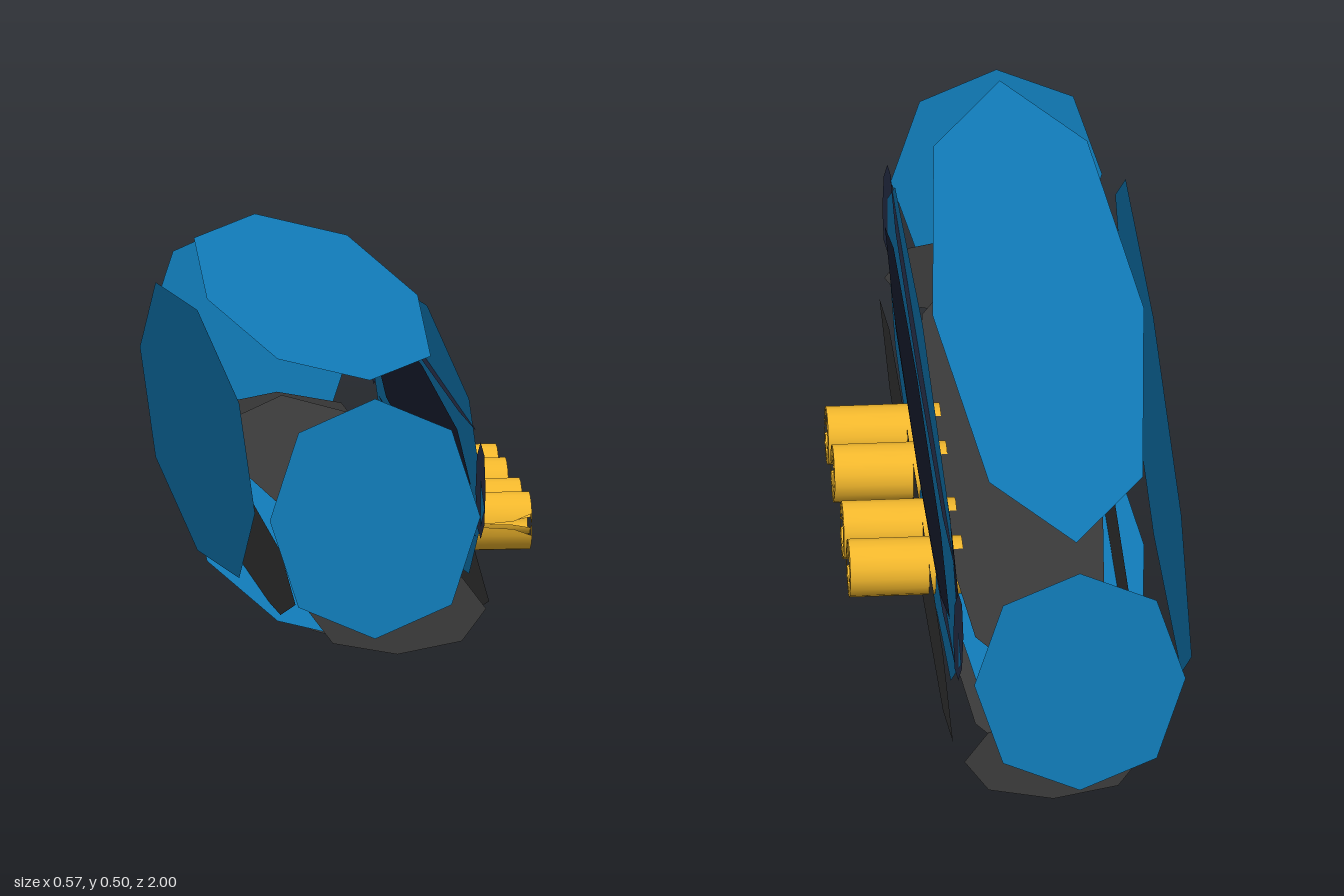
import * as THREE from 'three';

const material = (color) => new THREE.MeshStandardMaterial({ color, side: THREE.DoubleSide, flatShading: true });
const blue = material(0x117dbb);
const charcoal = material(0x3b3b3b);
const navy = material(0x1a2033);
const gold = material(0xf0b62c);
const goldSmooth = gold.clone();
goldSmooth.flatShading = false;

// A softened quad: edge middles and corners both draw in from the full outline
const MID = 11 / 12, COR = 2 / 3;
const OUTLINE = [
  [MID, 0], [COR, COR], [0, MID], [-COR, COR],
  [-MID, 0], [-COR, -COR], [0, -MID], [COR, -COR],
];
const softQuad = (place) => new THREE.Shape(OUTLINE.map(([u, v]) => place(u, v)));

function addMesh(parent, name, geometry, mat) {
  const mesh = new THREE.Mesh(geometry, mat);
  mesh.name = name;
  parent.add(mesh);
  return mesh;
}

// Six separate octagonal plates, one on each side of a box
function plateBox(name, [cx, cy, cz], [hx, hy, hz], mat) {
  const group = new THREE.Group();
  group.name = name;
  group.position.set(cx, cy, cz);
  const plate = (label, a, b, depth, rx, ry) => {
    const g = new THREE.ShapeGeometry(softQuad((u, v) => new THREE.Vector2(u * a, v * b)));
    g.translate(0, 0, depth).rotateX(rx).rotateY(ry);
    addMesh(group, label, g, mat);
  };
  const q = Math.PI / 2;
  plate('frontPlate', hx, hy, hz, 0, 0);
  plate('backPlate', hx, hy, hz, 0, 2 * q);
  plate('leftPlate', hz, hy, hx, 0, q);
  plate('rightPlate', hz, hy, hx, 0, -q);
  plate('topPlate', hx, hz, hy, -q, 0);
  plate('bottomPlate', hx, hz, hy, q, 0);
  return group;
}

// Open tube wall along x, with a seam at +z that opens towards both ends
function tubeWall(radius, half) {
  const steps = 16, pos = [], index = [];
  const deg = Math.PI / 180;
  for (let j = 0; j <= steps; j++) {
    const seam = j === 0 || j === steps;
    const side = j === 0 ? 1 : -1;
    for (let i = -1; i <= 1; i++) {
      let angle = j * 22.5, x = i * half;
      if (seam) {
        angle += side * (i === 0 ? 1.9 : 7.5);
        x *= COR;
      }
      pos.push(x, radius * Math.sin(angle * deg), radius * Math.cos(angle * deg));
    }
  }
  for (let j = 0; j < steps; j++) {
    for (let i = 0; i < 2; i++) {
      const a = j * 3 + i, b = a + 1, c = a + 3, d = a + 4;
      index.push(a, b, c, b, d, c);
    }
  }
  const g = new THREE.BufferGeometry();
  g.setAttribute('position', new THREE.Float32BufferAttribute(pos, 3));
  g.setIndex(index);
  g.computeVertexNormals();
  return g;
}

// Ring of eight softened wedges facing +z
function wedgeRing(inner, outer) {
  const wedges = [];
  for (let k = 0; k < 8; k++) {
    const mid = (k + 0.5) * Math.PI / 4;
    const apothem = Math.cos(Math.PI / 8), chord = Math.sin(Math.PI / 8);
    wedges.push(softQuad((u, v) => {
      const r = (inner + outer) / 2 + u * (outer - inner) / 2;
      return new THREE.Vector2(r * apothem, r * chord * v).rotateAround(new THREE.Vector2(), mid);
    }));
  }
  return new THREE.ShapeGeometry(wedges);
}

function hollowPipe(name, z) {
  const half = 0.103;
  const pipe = new THREE.Group();
  pipe.name = name;
  pipe.position.set(0.183, 0.133, z);
  addMesh(pipe, 'outerWall', tubeWall(0.053, half), goldSmooth);
  addMesh(pipe, 'innerWall', tubeWall(0.025, half), goldSmooth);
  for (const s of [1, -1]) {
    const ring = wedgeRing(0.028, 0.058).translate(0, 0, half).rotateY(s * Math.PI / 2);
    addMesh(pipe, s > 0 ? 'outerRim' : 'innerRim', ring, gold);
  }
  return pipe;
}

export function createModel() {
  const model = new THREE.Group();
  model.name = 'plateHousing';
  model.add(plateBox('mainBody', [-0.078, 0.265, 0], [0.209, 0.24, 1], blue));
  model.add(plateBox('lowerBase', [-0.033, 0.09, 0], [0.176, 0.088, 0.96], charcoal));
  model.add(plateBox('sidePanel', [0.131, 0.288, 0], [0.01, 0.097, 0.85], navy));
  // Four pipes in two mirrored pairs
  [0.263, 0.112, -0.112, -0.263].forEach((z, i) => model.add(hollowPipe('pipe' + (i + 1), z)));
  return model;
}
